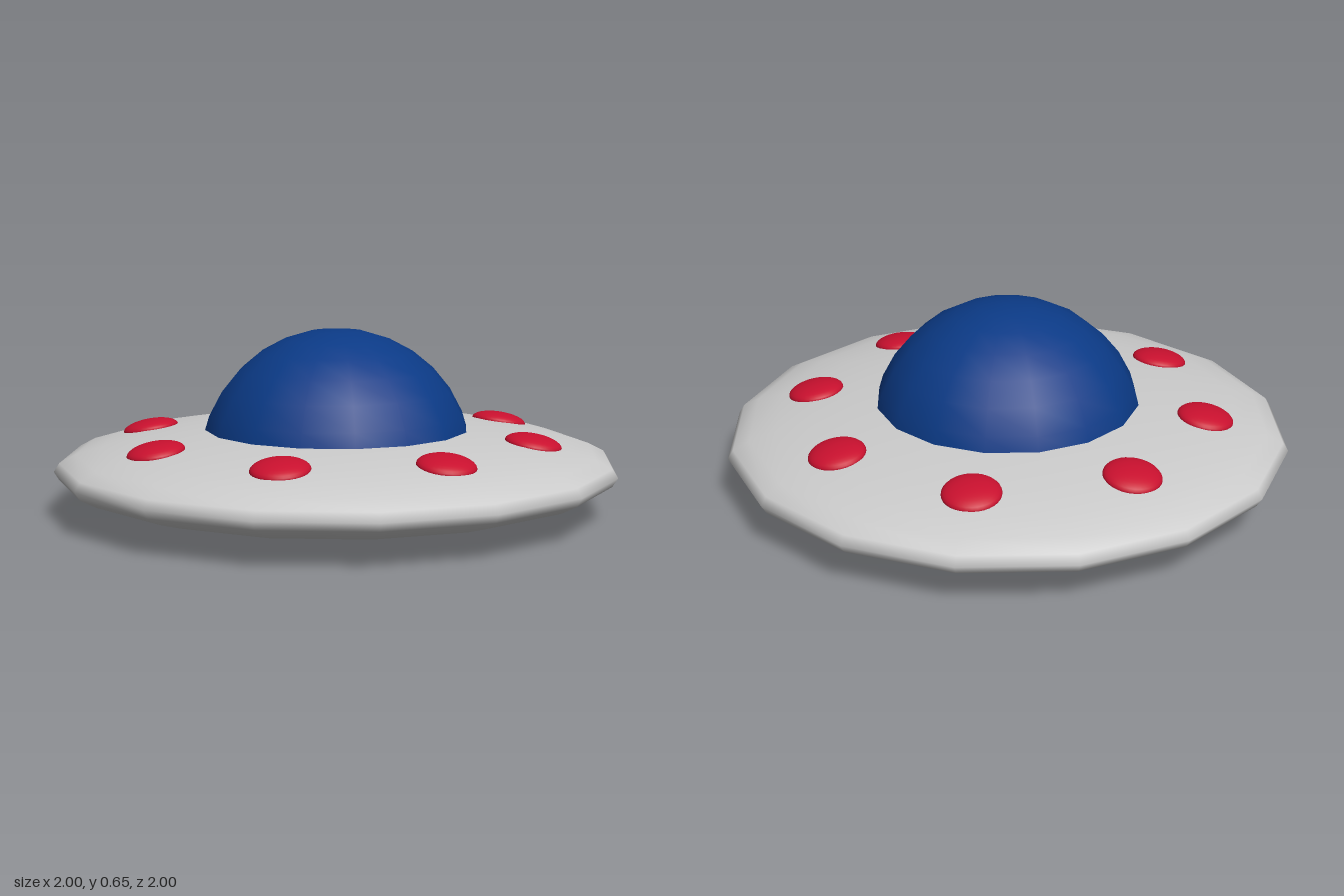
import * as THREE from 'three';

const HALF_HEIGHT = 0.157; // half thickness of the saucer disc

export function createModel() {
  const model = new THREE.Group();
  model.name = 'flyingSaucer';

  const grey = new THREE.MeshStandardMaterial({ color: 0xcccccc });
  const blue = new THREE.MeshStandardMaterial({ color: 0x0b3a86 });
  const red = new THREE.MeshStandardMaterial({ color: 0xc8102e });

  // Saucer disc: a flattened sphere
  const discGeometry = new THREE.SphereGeometry(1, 16, 16);
  discGeometry.scale(1, HALF_HEIGHT, 1);
  const disc = new THREE.Mesh(discGeometry, grey);
  disc.name = 'disc';
  disc.position.y = HALF_HEIGHT;
  model.add(disc);

  // Cockpit dome: the upper half of a sphere, rising from the middle of the disc
  const domeGeometry = new THREE.SphereGeometry(0.491, 16, 8, 0, Math.PI * 2, 0, Math.PI / 2);
  const dome = new THREE.Mesh(domeGeometry, blue);
  dome.name = 'dome';
  dome.position.y = HALF_HEIGHT;
  model.add(dome);

  // Ring of eight lights, each tilted to lie along the disc surface
  const lightGeometry = new THREE.SphereGeometry(0.1, 32, 16);
  lightGeometry.scale(1, 0.34, 1);
  const lights = new THREE.Group();
  lights.name = 'lights';
  for (let i = 0; i < 8; i++) {
    const arm = new THREE.Group();
    arm.name = 'lightMount' + (i + 1);
    arm.rotation.y = i * Math.PI / 4;
    const light = new THREE.Mesh(lightGeometry, red);
    light.name = 'light';
    light.position.set(0.705, 0.264, 0);
    light.rotation.z = -0.17;
    arm.add(light);
    lights.add(arm);
  }
  model.add(lights);

  return model;
}
